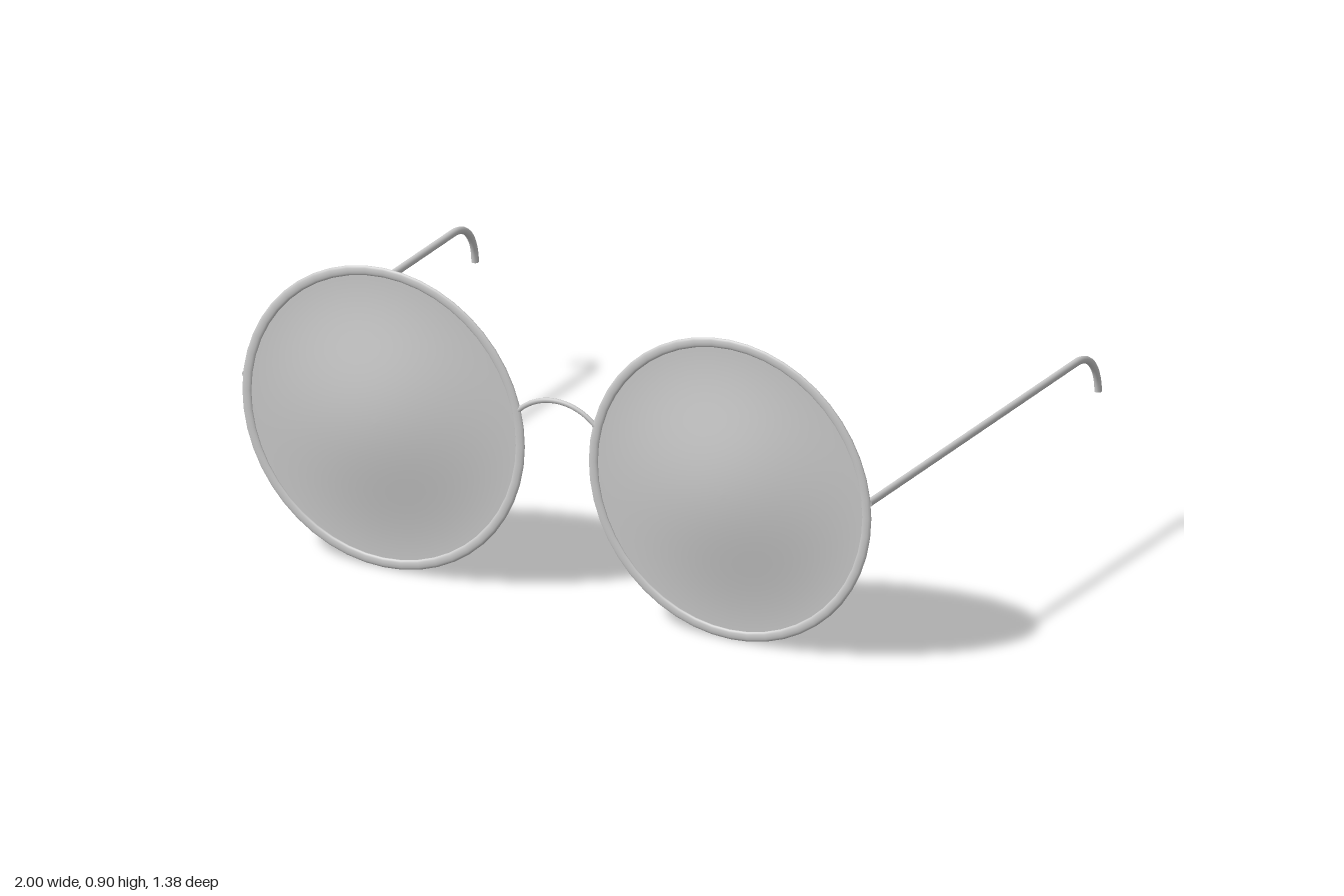
import * as THREE from 'three';

const LENS_X = 0.55, LENS_Y = 0.449, RIM_Z = 0.642;
const RIM_R = 0.434, RIM_TUBE = 0.0145, FLAT = 0.4;

export function createModel() {
  const group = new THREE.Group();
  const metal = new THREE.MeshStandardMaterial({ color: 0xcccccc });
  const glass = new THREE.MeshStandardMaterial({ color: 0xcccccc, side: THREE.DoubleSide });

  const add = (name, geometry, material = metal) => {
    const mesh = new THREE.Mesh(geometry, material);
    mesh.name = name;
    group.add(mesh);
    return mesh;
  };

  // Domed lens: bell profile, flat at the rim and bulging forward in the middle
  const profile = [];
  for (let i = 0; i <= 20; i++) {
    const t = 1 - i / 20;
    profile.push(new THREE.Vector2(t * RIM_R, 0.047 * Math.cos(t * Math.PI / 2) ** 2));
  }
  const lensGeo = new THREE.LatheGeometry(profile, 48).rotateX(Math.PI / 2);

  // Flattened wire rim
  const rimGeo = new THREE.TorusGeometry(RIM_R, RIM_TUBE, 12, 48).scale(1, 1, FLAT);

  for (const [side, s] of [['left', 1], ['right', -1]]) {
    add(side + 'Lens', lensGeo, glass).position.set(s * LENS_X, LENS_Y, RIM_Z);
    add(side + 'Rim', rimGeo).position.set(s * LENS_X, LENS_Y, RIM_Z);

    // Temple arm: straight run, then a hook curving down behind the ear
    const x = s * 0.989;
    const p = (y, z) => new THREE.Vector3(x, y, z);
    const path = new THREE.CurvePath();
    path.add(new THREE.LineCurve3(p(0.493, RIM_Z), p(0.493, -0.55)));
    path.add(new THREE.CubicBezierCurve3(
      p(0.493, -0.55), p(0.493, -0.63), p(0.435, -0.675), p(0.362, -0.677)));
    add(side + 'Arm', new THREE.TubeGeometry(path, 90, 0.0108, 10));

    // Caps closing both ends of the arm
    const cap = new THREE.CircleGeometry(0.0108, 10);
    add(side + 'ArmFrontCap', cap).position.copy(p(0.493, RIM_Z));
    const tip = add(side + 'ArmTip', cap);
    tip.position.copy(p(0.362, -0.677));
    tip.rotation.x = Math.PI / 2;
  }

  // Arched bridge, flattened like the rims
  const bridgeCurve = new THREE.CubicBezierCurve3(
    new THREE.Vector3(-0.122, 0.555, 0), new THREE.Vector3(-0.055, 0.622, 0),
    new THREE.Vector3(0.055, 0.622, 0), new THREE.Vector3(0.122, 0.555, 0));
  const bridgeGeo = new THREE.TubeGeometry(bridgeCurve, 24, 0.0075, 10).scale(1, 1, 0.7);
  add('bridge', bridgeGeo).position.z = RIM_Z;

  return group;
}
